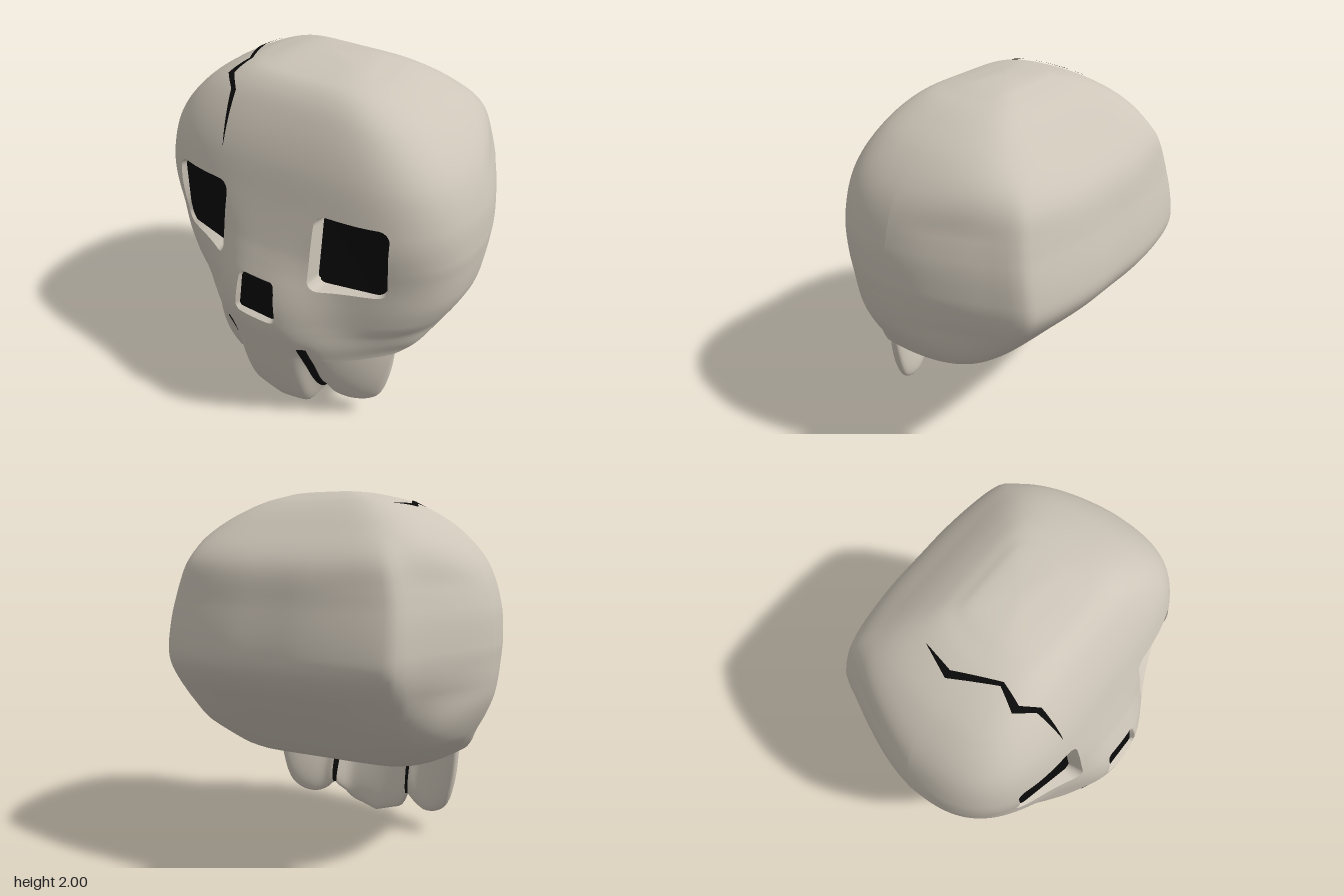
import * as THREE from 'three';

const { smoothstep, lerp } = THREE.MathUtils;

// Smooth interpolation through rows [key, a, b, ...]; returns column c
function interp(rows, k, c) {
  const n = rows.length;
  let i = 0;
  while (i < n - 2 && k > rows[i + 1][0]) i++;
  const slope = (p, q) => (rows[q][c] - rows[p][c]) / (rows[q][0] - rows[p][0]);
  const tangent = (p) => slope(Math.max(p - 1, 0), Math.min(p + 1, n - 1));
  const h = rows[i + 1][0] - rows[i][0];
  const t = Math.min(Math.max((k - rows[i][0]) / h, 0), 1), t2 = t * t, t3 = t2 * t;
  return (2 * t3 - 3 * t2 + 1) * rows[i][c] + (t3 - 2 * t2 + t) * h * tangent(i)
    + (3 * t2 - 2 * t3) * rows[i + 1][c] + (t3 - t2) * h * tangent(i + 1);
}

// Cranium stations: height, half width, front z, back z
const STATIONS = [
  [2, 0, 0, 0], [1.99, 0.2, 0.1, -0.14], [1.97, 0.3, 0.21, -0.2], [1.95, 0.38, 0.28, -0.25],
  [1.9, 0.5, 0.35, -0.335], [1.8, 0.66, 0.425, -0.465], [1.62, 0.82, 0.515, -0.65],
  [1.4, 0.9, 0.585, -0.72], [1.2, 0.92, 0.65, -0.765], [1.1, 0.915, 0.69, -0.765],
  [1, 0.905, 0.73, -0.71], [0.9, 0.885, 0.755, -0.62], [0.8, 0.845, 0.762, -0.52],
  [0.7, 0.79, 0.755, -0.41], [0.6, 0.72, 0.735, -0.295], [0.55, 0.67, 0.72, -0.23], [0.52, 0.62, 0.71, -0.17],
].map(([y, ...rest]) => [Math.sqrt(2 - y), ...rest]);
const station = (y, c) => interp(STATIONS, Math.sqrt(Math.max(2 - y, 0)), c);

// Plan of the back half: share of the half width, share of the depth
const BACK = [[0, 1], [0.25, 0.997], [0.5, 0.96], [0.7, 0.9], [0.745, 0.85], [0.8, 0.71],
  [0.88, 0.5], [0.95, 0.28], [0.985, 0.12], [1, 0]];

// Lower edge of the teeth: |x|, y
const TEETH = [[0, 0], [0.1, 0.03], [0.18, 0.06], [0.23, 0.13], [0.265, 0.175], [0.3, 0.14],
  [0.35, 0.11], [0.41, 0.1], [0.5, 0.13], [0.56, 0.2], [0.6, 0.35], [0.62, 0.52]];
const JAW_TOP = 0.52, JAW_W = 0.62;
const toothEdge = (x) => interp(TEETH, Math.abs(x), 1);

// Front surface of the jaw: side teeth set back behind grooves
function jawZ(x, y) {
  const ax = Math.abs(x), down = Math.max(JAW_TOP - y, 0);
  const groove = Math.exp(-(((ax - 0.25) / 0.045) ** 2)) * (0.035 + 0.05 * down);
  const lean = 0.22 * (JAW_TOP - y) + 0.08 * down * down + 0.2 * down * smoothstep(ax, 0.2, 0.3);
  return 0.715 - lean - (0.95 - 1.3 * down) * x * x - groove * smoothstep(0.7 - y, 0, 0.3);
}

// Front and back z of the jaw shell; v runs from its top to the tooth edge
function jawShell(x, y, v) {
  const s = Math.min(Math.abs(x) / JAW_W, 1);
  const th = 0.13 * Math.sqrt(1 - s ** 8), e = Math.sqrt(Math.max(1 - v ** 4, 0)), z = jawZ(x, y);
  return [z - th * (1 - e) / 2, z - th * (1 + e) / 2];
}

// z where the front and back halves of the cranium meet
const seamZ = (y) => lerp(0, jawZ(JAW_W, JAW_TOP), smoothstep(-y, -0.72, -JAW_TOP));

// Rounded face with a narrower muzzle standing out of it
function frontZ(x, y) {
  const ax = Math.abs(x), s = Math.min(ax / Math.max(station(y, 1), 1e-6), 1), z0 = seamZ(y);
  const a = 2.2 + 2.8 * smoothstep(y, 1, 1.8);
  const d = station(y, 2) - 0.62, out = (d + Math.hypot(d, 0.03)) / 2;
  const z = z0 + (d + 0.62 - out - z0) * Math.pow(1 - s ** a, 0.36) + out * Math.exp(-((ax / 0.33) ** 3)) * (1 - s ** 8);
  const low = smoothstep(-y, -0.8, -JAW_TOP);
  return low > 0 ? lerp(z, jawZ(x, y), low * (1 - (1 - low) * s ** 10)) : z;
}

// Back half: a flat panel with corners, softer towards crown and base
function backZ(s, y) {
  const z0 = seamZ(y), as = Math.abs(s);
  const soft = Math.pow(1 - as ** 7, 0.6);
  const panel = smoothstep(y, 0.7, 1) * (1 - smoothstep(y, 1.5, 1.8));
  return z0 + (station(y, 3) - z0) * lerp(soft, interp(BACK, as, 1), panel);
}

// Signed distance to the nearest socket opening (rounded rectangles)
function roundRect(x, y, hw, hh, r) {
  const qx = Math.abs(x) - hw + r, qy = Math.abs(y) - hh + r;
  return Math.hypot(Math.max(qx, 0), Math.max(qy, 0)) + Math.min(Math.max(qx, qy), 0) - r;
}
const socket = (x, y) => Math.min(
  roundRect(Math.abs(x) - 0.46, y - 1.225, 0.19, 0.207, 0.06),
  roundRect(x * (1 + 0.8 * (y - 0.91)), y - 0.91, 0.12, 0.122, 0.035));

// Recessed floor of an eye or the nose
function floorZ(x, y) {
  const ax = Math.abs(x);
  if (ax < 0.2) return Math.min(0.733 - 0.1 * (y - 0.79), frontZ(x, y) - 0.015);
  const t = (0.65 - ax) / 0.37;
  return Math.min(0.485 + t * (0.02 + 0.17 * (1.43 - y)), frontZ(x, y) - 0.02);
}

// Front vertex: snapped to the rim near a socket edge, sunk when inside
function facePoint(x, y) {
  let d = socket(x, y);
  const inside = d < 0, h = 0.02, e = 1e-4;
  if (Math.abs(d) < h) {
    const target = inside ? -0.014 : 0;
    for (let k = 0; k < 2; k++) {
      const gx = (socket(x + e, y) - socket(x - e, y)) / (2 * e);
      const gy = (socket(x, y + e) - socket(x, y - e)) / (2 * e);
      const g = gx * gx + gy * gy || 1;
      x += (target - d) * gx / g;
      y += (target - d) * gy / g;
      d = socket(x, y);
    }
  }
  return [x, y, inside ? floorZ(x, y) : frontZ(x, y), inside];
}

function meshOf(name, positions, index, material) {
  const g = new THREE.BufferGeometry();
  g.setAttribute('position', new THREE.Float32BufferAttribute(positions, 3));
  g.setIndex(index);
  g.computeVertexNormals();
  const m = new THREE.Mesh(g, material);
  m.name = name;
  return m;
}

export function createModel() {
  const group = new THREE.Group();
  group.name = 'skull';
  const bone = new THREE.MeshStandardMaterial({ color: 0xcdc5b8 });
  const dark = new THREE.MeshStandardMaterial({ color: 0x0a0a0a, side: THREE.DoubleSide });

  // Rings from crown to tooth edge: front half left to right, then back half
  const NF = 180, NB = 72, RING = NF + NB, HEAD = 135, TURN = 10, JAW = 36;
  const pos = [], sunk = [];
  const put = (x, y, z, inside = false) => { pos.push(x, y, z); sunk.push(inside); };
  const ring = (front, back) => {
    for (let j = 0; j <= NF; j++) put(...front(Math.sin((j / NF - 0.5) * Math.PI)));
    for (let j = 1; j < NB; j++) put(...back(Math.sin((0.5 - j / NB) * Math.PI)));
  };
  for (let i = 0; i <= HEAD; i++) {
    const y = 2 - (2 - JAW_TOP) * Math.pow(i / HEAD, 1.5), w = station(y, 1);
    ring((s) => facePoint(s * w, y), (s) => [s * w, y, backZ(s, y)]);
  }
  // Underside of the cranium, running forward to the back of the jaw
  for (let i = 1; i <= TURN; i++) {
    const t = i / TURN;
    ring((s) => [s * JAW_W, JAW_TOP, jawZ(s * JAW_W, JAW_TOP)], (s) => {
      const x = s * JAW_W, drop = 0.035 * Math.sin(t * Math.PI) * (1 - s ** 4);
      return [x, JAW_TOP - drop, lerp(backZ(s, JAW_TOP), jawShell(x, JAW_TOP, 0)[1], t)];
    });
  }
  // Jaw shell with three teeth
  for (let i = 1; i <= JAW; i++) {
    const v = Math.sin(i / JAW * Math.PI / 2);
    const point = (side) => (s) => {
      const x = s * JAW_W, y = lerp(JAW_TOP, toothEdge(x), v);
      return [x, y, jawShell(x, y, v)[side]];
    };
    ring(point(0), point(1));
  }

  // Sort faces into bone, socket walls and dark socket floors
  const lists = [[], [], []];
  const face = (...t) => {
    const n = t.filter((k) => sunk[k]).length;
    lists[n === 0 ? 0 : n === 3 ? 2 : 1].push(...t);
  };
  for (let i = 0; i < HEAD + TURN + JAW; i++) {
    for (let j = 0; j < RING; j++) {
      const a = i * RING + j, b = i * RING + (j + 1) % RING;
      face(a, a + RING, b);
      face(b, a + RING, b + RING);
    }
  }
  const head = meshOf('craniumAndJaw', pos, lists[0], bone);
  group.add(head, meshOf('socketWalls', pos, lists[1], bone), meshOf('socketFloors', pos, lists[2], dark));

  // Dark gaps between the teeth, running through the jaw
  for (const side of [-1, 1]) {
    const g = new THREE.BoxGeometry(1, 1, 1, 1, 16, 1), p = g.attributes.position;
    for (let i = 0; i < p.count; i++) {
      const t = 0.5 - p.getY(i), y = lerp(0.61, 0.18, t);
      const x = side * lerp(0.24, 0.258, t) + p.getX(i) * lerp(0.042, 0.018, t);
      const v = Math.max(0, (JAW_TOP - y) / (JAW_TOP - toothEdge(x)));
      const [f, b] = y > JAW_TOP ? [frontZ(x, y), frontZ(x, y) - 0.12] : jawShell(x, y, Math.min(v, 1));
      p.setXYZ(i, x, y, p.getZ(i) > 0 ? f + 0.007 : b - 0.007);
    }
    g.computeVertexNormals();
    const gap = new THREE.Mesh(g, dark);
    gap.name = side > 0 ? 'leftToothGap' : 'rightToothGap';
    group.add(gap);
  }

  // Jagged crack laid onto the crown: x, y, z, half width
  const crack = [[-0.43, 1.93, -0.2, 0.001], [-0.48, 1.9, -0.03, 0.02], [-0.375, 1.95, 0.2, 0.011],
    [-0.42, 1.9, 0.31, 0.022], [-0.345, 1.86, 0.39, 0.016], [-0.325, 1.61, 0.53, 0.001]];
  const core = new THREE.Vector3(-0.4, 1.2, 0), caster = new THREE.Raycaster();
  const ribbon = [], strip = [], STEPS = 8, total = (crack.length - 1) * STEPS;
  for (let i = 0; i <= total; i++) {
    const k = Math.min(Math.floor(i / STEPS), crack.length - 2), t = i / STEPS - k;
    const [x, y, z, w] = crack[k].map((c, n) => lerp(c, crack[k + 1][n], t));
    for (const side of [-1, 1]) {
      const p = new THREE.Vector3(x + side * w, y, z), out = p.clone().sub(core).normalize();
      caster.set(p.clone().addScaledVector(out, 0.6), out.clone().negate());
      const hit = caster.intersectObject(head)[0];
      const q = (hit ? hit.point : p).clone().addScaledVector(out, 0.007);
      ribbon.push(q.x, q.y, q.z);
    }
    if (i < total) strip.push(2 * i, 2 * i + 2, 2 * i + 1, 2 * i + 1, 2 * i + 2, 2 * i + 3);
  }
  group.add(meshOf('crownCrack', ribbon, strip, dark));
  return group;
}
